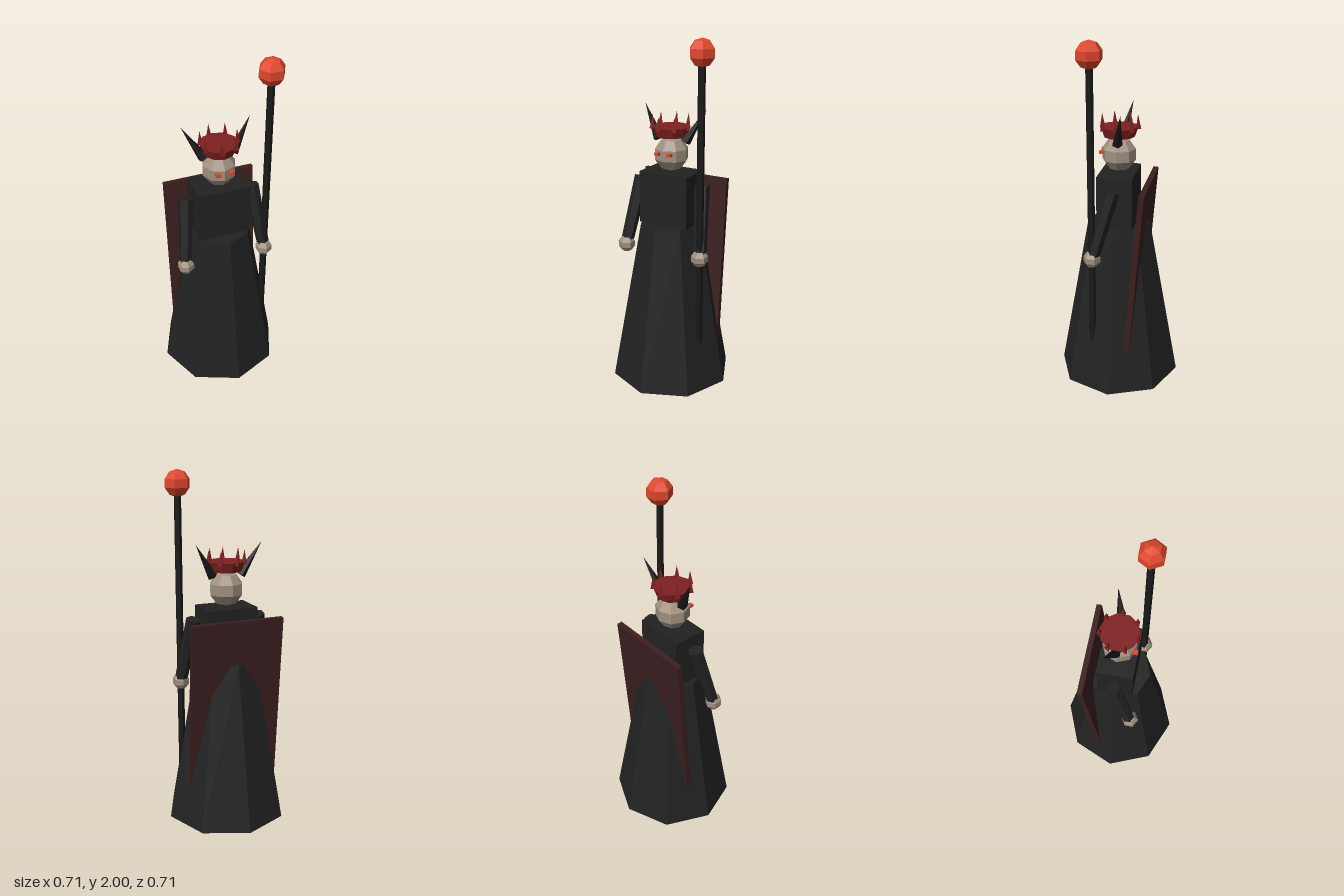
import * as THREE from 'three';

const mat = (name, color) => {
  const m = new THREE.MeshStandardMaterial({ color, flatShading: true });
  m.name = name;
  return m;
};

export function createModel() {
  const cloth = mat('black cloth', 0x222222);
  const dark = mat('dark wood and horn', 0x191919);
  const capeRed = mat('dark red cape', 0x3c1f20);
  const crownRed = mat('crown red', 0x802022);
  const bone = mat('bone', 0xa09080);
  const glow = mat('glowing red', 0xe0472e);

  const model = new THREE.Group();
  model.name = 'robedFigure';

  const add = (name, geometry, material, x, y, z) => {
    const mesh = new THREE.Mesh(geometry, material);
    mesh.name = name;
    mesh.position.set(x, y, z);
    model.add(mesh);
    return mesh;
  };

  // Tapered limb running from one point to another
  const limb = (name, from, to, rFrom, rTo, sides, material) => {
    const a = new THREE.Vector3(...from), b = new THREE.Vector3(...to);
    const dir = b.clone().sub(a);
    const mid = a.clone().add(b).multiplyScalar(0.5);
    const geo = new THREE.CylinderGeometry(rFrom, rTo, dir.length(), sides);
    const mesh = add(name, geo, material, mid.x, mid.y, mid.z);
    mesh.quaternion.setFromUnitVectors(new THREE.Vector3(0, -1, 0), dir.normalize());
    return mesh;
  };

  // Robe, torso and head
  add('robe', new THREE.CylinderGeometry(0.18, 0.355, 0.95, 8), cloth, 0, 0.475, 0);
  add('torso', new THREE.BoxGeometry(0.3, 0.3, 0.2), cloth, 0, 1.1, 0);
  add('head', new THREE.SphereGeometry(0.1, 8, 5), bone, 0, 1.35, 0);

  // Cape leaning in towards the robe
  add('cape', new THREE.BoxGeometry(0.54, 1, 0.03), capeRed, 0, 0.7, -0.13).rotation.x = -0.08;

  // Mirrored eyes, horns, arms and hands
  for (const [side, s] of [['left', 1], ['right', -1]]) {
    add(side + 'Eye', new THREE.BoxGeometry(0.025, 0.016, 0.03), glow, s * 0.037, 1.362, 0.09);
    limb(side + 'Horn', [s * 0.085, 1.425, -0.005], [s * 0.195, 1.61, -0.045], 0.03, 0, 5, dark);
    limb(side + 'Arm', [s * 0.195, 1.19, 0], [s * 0.24, 0.82, 0.1], 0.043, 0.036, 6, cloth);
    add(side + 'Hand', new THREE.SphereGeometry(0.05, 6, 5), bone, s * 0.24, 0.803, 0.107)
      .rotation.y = Math.PI / 6;
  }

  // Crown band with seven spikes
  add('crownBand', new THREE.CylinderGeometry(0.107, 0.088, 0.055, 10), crownRed, 0, 1.4775, 0);
  for (let i = 0; i < 7; i++) {
    const a = (i / 7) * Math.PI * 2;
    add('crownSpike', new THREE.ConeGeometry(0.019, 0.08, 3), crownRed,
      Math.cos(a) * 0.103, 1.53, Math.sin(a) * 0.103).rotation.y = Math.PI;
  }

  // Staff with a faceted orb
  add('staff', new THREE.CylinderGeometry(0.02, 0.02, 1.76, 6), dark, 0.24, 0.98, 0.107);
  add('staffOrb', new THREE.SphereGeometry(0.075, 6, 5), glow, 0.24, 1.925, 0.107);

  return model;
}
